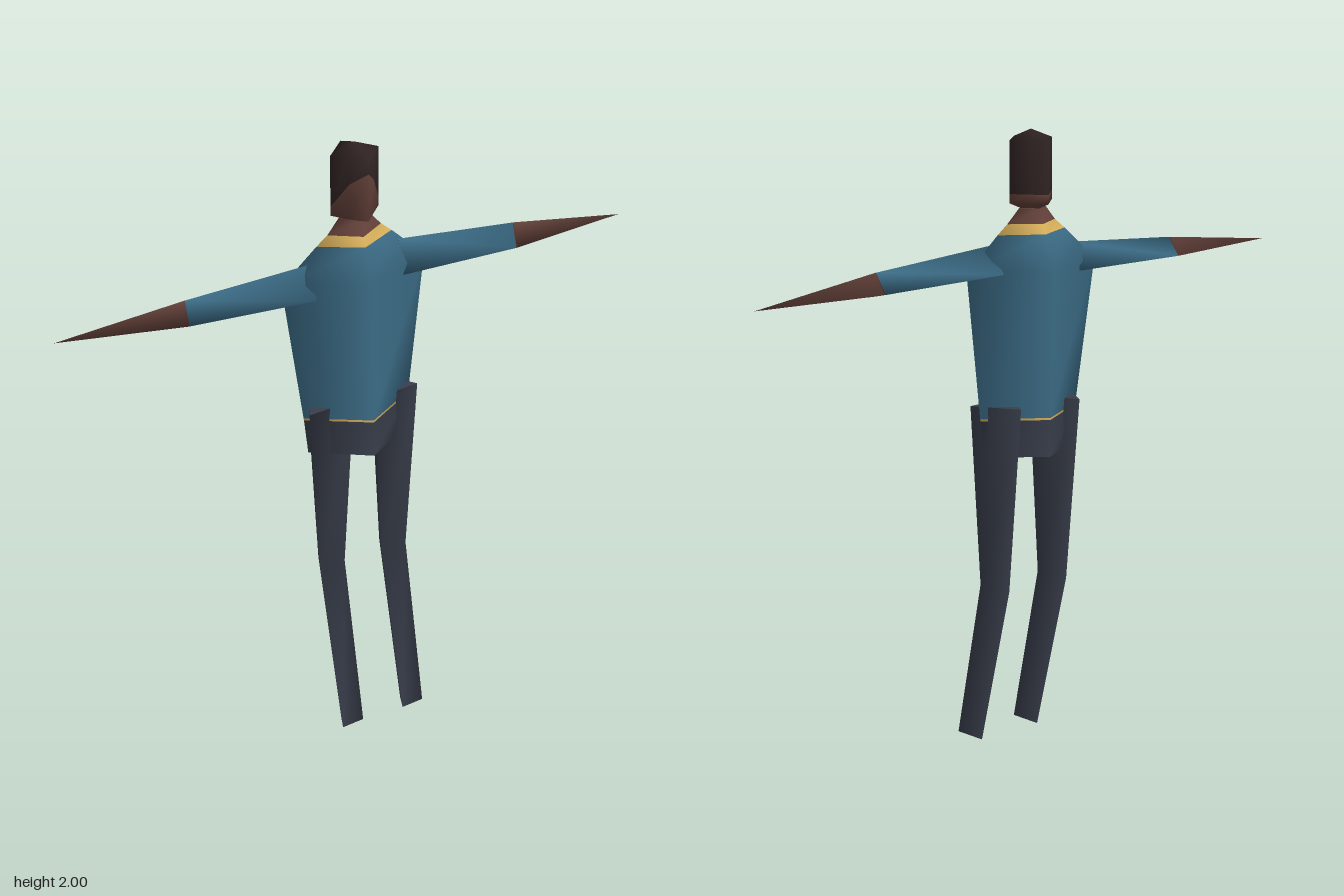
import * as THREE from 'three';

const material = (name, color) => {
  const m = new THREE.MeshStandardMaterial({ color });
  m.name = name;
  return m;
};

const V = (x, y, z) => new THREE.Vector3(x, y, z);

// Smooth skin through rings of points. Each band between rings has a material.
// An end with a tip closes to a shared point, otherwise it gets a flat cap.
function loft(name, rings, bandMats, startTip, endTip) {
  const n = rings[0].length;
  const pos = [], index = [], groups = [];
  const add = (p) => pos.push(p.x, p.y, p.z) / 3 - 1;
  const ids = rings.map((r) => r.map(add));
  const mats = [...new Set(bandMats)];
  const group = (mat, build) => {
    const start = index.length;
    build();
    groups.push([start, index.length - start, mats.indexOf(mat)]);
  };
  const close = (ring, ringIds, tip, flip) => {
    const centre = ring.reduce((s, p) => s.add(p), V(0, 0, 0)).divideScalar(n);
    const edge = tip ? ringIds : ring.map(add);
    const c = add(tip || centre);
    for (let i = 0; i < n; i++) {
      const a = edge[i], b = edge[(i + 1) % n];
      index.push(...(flip ? [b, a, c] : [a, b, c]));
    }
  };
  const last = rings.length - 1;
  group(bandMats[0], () => close(rings[0], ids[0], startTip, true));
  for (let k = 0; k < last; k++) {
    group(bandMats[k], () => {
      for (let i = 0; i < n; i++) {
        const j = (i + 1) % n;
        const a = ids[k][i], b = ids[k][j], c = ids[k + 1][j], d = ids[k + 1][i];
        index.push(a, b, c, a, c, d);
      }
    });
  }
  group(bandMats[last - 1], () => close(rings[last], ids[last], endTip, false));

  const geo = new THREE.BufferGeometry();
  geo.setAttribute('position', new THREE.Float32BufferAttribute(pos, 3));
  geo.setIndex(index);
  groups.forEach((g) => geo.addGroup(...g));
  geo.computeVertexNormals();
  const mesh = new THREE.Mesh(geo, mats);
  mesh.name = name;
  return mesh;
}

// Diamond cross-section: half width, back and front depth
const diamond = (y, w, back, front) => {
  const mid = (back + front) / 2;
  return [V(0, y, front), V(w, y, mid), V(0, y, back), V(-w, y, mid)];
};

export function createModel() {
  const shirt = material('shirt blue', 0x3b6b85);
  const trousers = material('trouser slate', 0x393e4b);
  const skin = material('skin brown', 0x64413a);
  const hair = material('hair dark brown', 0x302323);
  const gold = material('trim gold', 0xdab25c);

  const model = new THREE.Group();
  model.name = 'figure';

  // Torso from hips to neck, with belt line and collar
  model.add(loft('torso', [
    diamond(1.0, 0.172, -0.14, 0.09),
    diamond(1.118, 0.184, -0.14, 0.086),
    diamond(1.125, 0.185, -0.141, 0.086),
    diamond(1.585, 0.243, -0.16, 0.072),
    diamond(1.69, 0.127, -0.113, 0.031),
    diamond(1.72, 0.09, -0.1, 0.02),
    diamond(1.765, 0.05, -0.085, -0.005),
  ], [trousers, gold, shirt, shirt, gold, skin]));

  // Head: eight points per ring so the hairline can arch over the face
  const headRing = (heights) => {
    const w = 0.08, d = 0.088, z = -0.038;
    const plan = [[0, 1], [0.5, 0.5], [1, 0], [0.5, -0.5], [0, -1], [-0.5, -0.5], [-1, 0], [-0.5, 0.5]];
    return plan.map(([x, s], i) => V(x * w, heights[i], z + s * d));
  };
  const level = (y) => Array(8).fill(y);
  model.add(loft('head', [
    headRing(level(1.782)),
    headRing([1.93, 1.89, 1.81, 1.81, 1.81, 1.81, 1.81, 1.89]),
    headRing(level(1.97)),
  ], [skin, hair], V(0, 1.748, -0.038), V(0, 2, -0.038)));

  // Three-sided legs, bent at the knee; both share the same orientation
  const legRing = (x, y, z, r, tilt) =>
    [[-0.8, 0.6], [0.92, 0.39], [-0.12, -0.99]].map(([u, v]) =>
      V(x + u * r, y + v * r * tilt, z + v * r));
  for (const [name, x] of [['leftLeg', 0.113], ['rightLeg', -0.113]]) {
    model.add(loft(name, [
      legRing(x, 0.015, 0.13, 0.047, 0.3),
      legRing(x, 0.57, -0.015, 0.055, 0.2),
      legRing(x, 1.163, -0.033, 0.094, 0),
    ], [trousers, trousers]));
  }

  // Three-sided arms with sleeves, tapering to pointed hands
  const armRing = (x, y, z, r) =>
    [[1, 0.16], [-0.69, 0.76], [-0.29, -0.92]].map(([u, v]) =>
      V(x, y + u * r, z + v * r));
  model.add(loft('leftArm', [
    armRing(0.145, 1.598, -0.042, 0.062),
    armRing(0.555, 1.578, -0.043, 0.045),
    armRing(0.56, 1.578, -0.043, 0.0445),
  ], [shirt, skin], null, V(0.962, 1.56, -0.045)));
  model.add(loft('rightArm', [
    armRing(-0.56, 1.575, -0.043, 0.0425),
    armRing(-0.555, 1.575, -0.043, 0.043),
    armRing(-0.15, 1.58, -0.042, 0.062),
  ], [skin, shirt], V(-0.955, 1.575, -0.045), null));

  return model;
}
